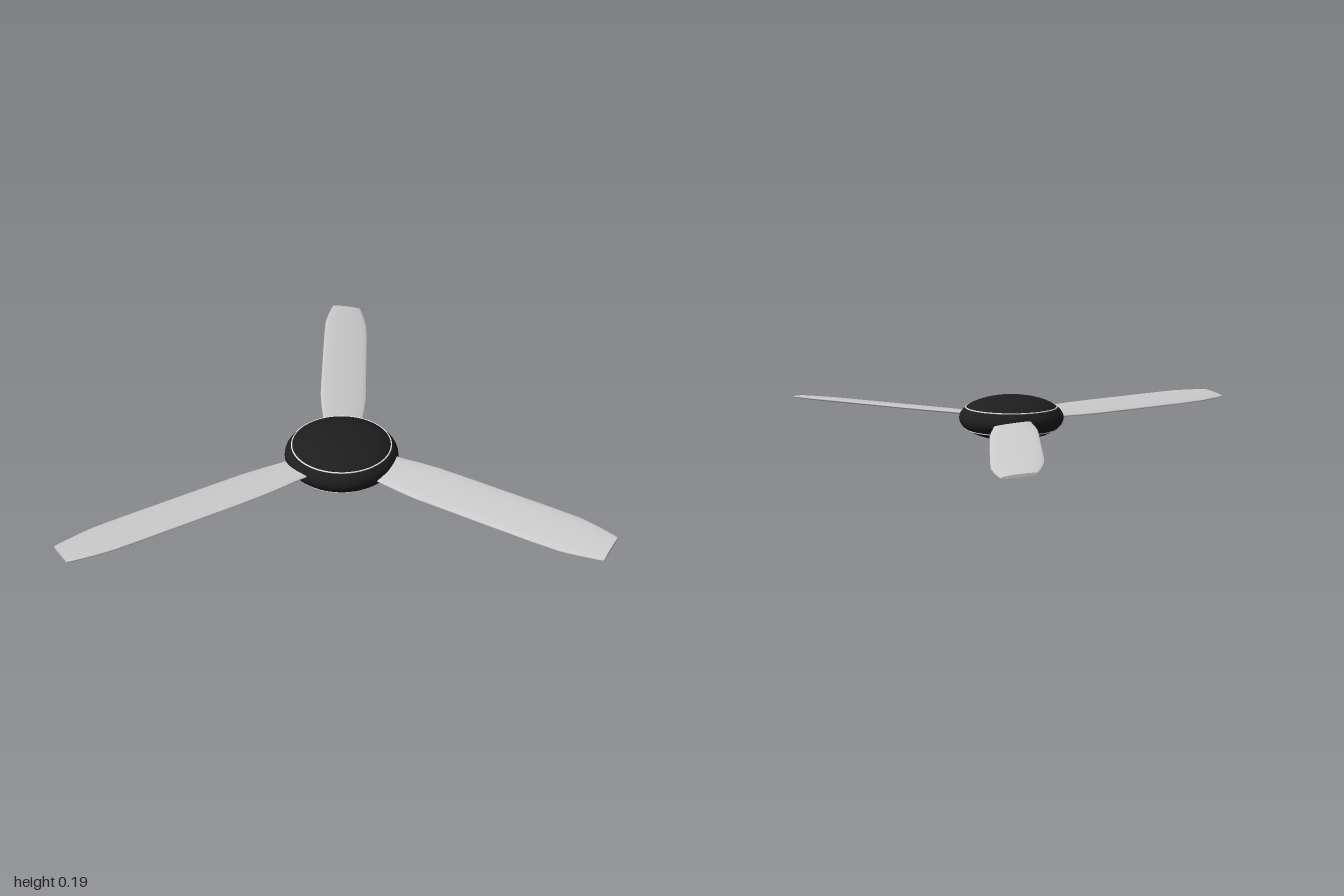
import * as THREE from 'three';

const black = new THREE.MeshStandardMaterial({ name: 'black hub', color: 0x1e1e1e });
const grey = new THREE.MeshStandardMaterial({ name: 'light grey blade', color: 0xcccccc });
const white = new THREE.MeshStandardMaterial({ name: 'white trim', color: 0xe4e4e4 });

const HUB = { x: 0.003, y: 0.0925, z: 0.239, r: 0.221, h: 0.0925 };

// Blade along +x, lofted from flat rounded sections: [distance, half width, half thickness]
const sections = [
  [0.13, 0.072, 0.009], [0.24, 0.08, 0.009], [0.32, 0.089, 0.009], [0.4, 0.095, 0.009],
  [0.5, 0.096, 0.009], [0.9, 0.096, 0.009], [1.01, 0.094, 0.009], [1.08, 0.084, 0.008],
  [1.15, 0.07, 0.007], [1.175, 0.063, 0.006],
];
const PITCH = 0.13;
const SIDES = 24;

function bladeGeometry(length) {
  const pos = [];
  const index = [];
  const addRing = ([d, w, t]) => {
    for (let j = 0; j < SIDES; j++) {
      const a = (j / SIDES) * Math.PI * 2;
      const z = w * Math.cos(a);
      const s = Math.sin(a);
      const y = t * Math.sign(s) * Math.pow(Math.abs(s), 0.8) - z * PITCH;
      pos.push((d * length) / 1.175, y, z);
    }
  };
  sections.forEach(addRing);
  for (let i = 0; i < sections.length - 1; i++) {
    for (let j = 0; j < SIDES; j++) {
      const k = (j + 1) % SIDES;
      const a = i * SIDES + j, b = a + SIDES;
      const c = i * SIDES + k, d = c + SIDES;
      index.push(a, b, c, b, d, c);
    }
  }
  // Flat cap on the blade tip
  const base = sections.length * SIDES;
  addRing(sections[sections.length - 1]);
  for (let j = 1; j < SIDES - 1; j++) index.push(base, base + j + 1, base + j);

  const g = new THREE.BufferGeometry();
  g.setAttribute('position', new THREE.Float32BufferAttribute(pos, 3));
  g.setIndex(index);
  g.computeVertexNormals();
  return g;
}

export function createModel() {
  const model = new THREE.Group();
  model.name = 'ceilingFan';
  const fan = new THREE.Group();
  fan.name = 'fan';
  fan.position.set(HUB.x, HUB.y, HUB.z);
  model.add(fan);

  // Flattened round hub
  const hub = new THREE.Mesh(new THREE.SphereGeometry(1, 64, 32), black);
  hub.name = 'hub';
  hub.scale.set(HUB.r, HUB.h, HUB.r);
  fan.add(hub);

  // Thin trim rings above and below
  for (const side of [1, -1]) {
    const ring = new THREE.Mesh(new THREE.TorusGeometry(0.193, 0.003, 8, 72), white);
    ring.name = side > 0 ? 'upperTrimRing' : 'lowerTrimRing';
    ring.rotation.x = Math.PI / 2;
    ring.position.y = side * 0.045;
    fan.add(ring);
  }

  // Three pitched blades: name, heading in degrees, length
  const blades = [
    ['leftBlade', -30.7, 1.114],
    ['backBlade', 90, 1.175],
    ['rightBlade', -146.6, 1.16],
  ];
  for (const [name, heading, length] of blades) {
    const blade = new THREE.Mesh(bladeGeometry(length), grey);
    blade.name = name;
    blade.rotation.y = THREE.MathUtils.degToRad(heading);
    blade.position.y = 0.003;
    fan.add(blade);
  }
  return model;
}
